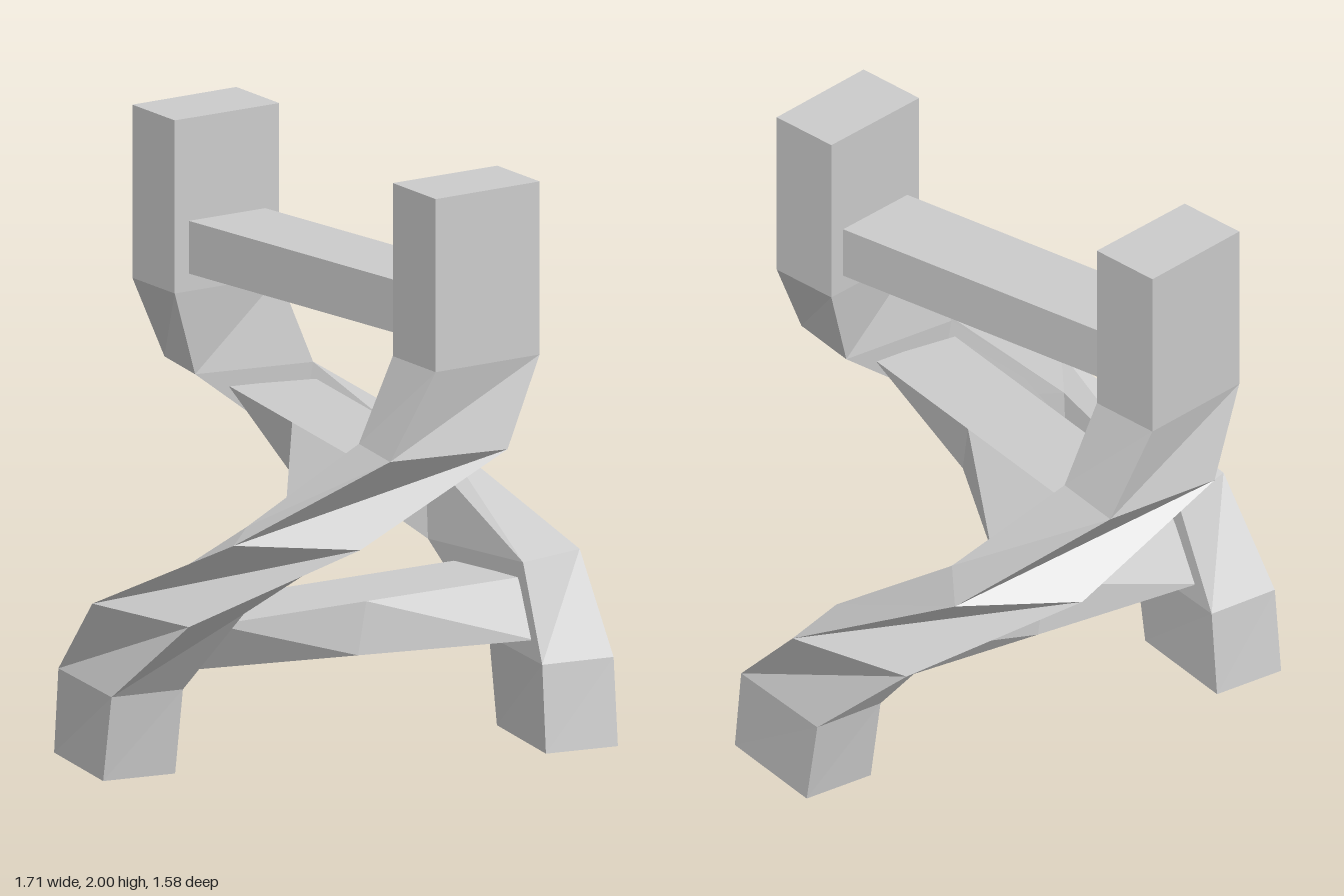
import * as THREE from 'three';

// Rail sections from foot to top: height, then outer/inner corners
// [outer trailing, inner trailing, inner leading, outer leading] as x, z pairs
const SECTIONS = [
  { y: 0.0, p: [[-0.845, -0.315], [-0.595, -0.315], [-0.595, 0.085], [-0.845, 0.085]] },
  { y: 0.286, p: [[-0.845, -0.28], [-0.595, -0.285], [-0.585, 0.125], [-0.835, 0.13]] },
  { y: 0.571, p: [[-0.855, 0.02], [-0.62, -0.07], [-0.46, 0.33], [-0.69, 0.42]] },
  { y: 0.857, p: [[-0.585, 0.54], [-0.45, 0.33], [-0.1, 0.535], [-0.235, 0.75]] },
  { y: 1.143, p: [[-0.14, 0.77], [-0.14, 0.515], [0.27, 0.515], [0.27, 0.765]] },
  { y: 1.429, p: [[0.01, 0.79], [-0.035, 0.545], [0.36, 0.47], [0.405, 0.71]] },
  { y: 2.0, p: [[0.01, 0.79], [-0.035, 0.545], [0.36, 0.47], [0.405, 0.71]] },
];

const material = new THREE.MeshStandardMaterial({ color: 0xcccccc, flatShading: true });

// Skins a row of four-cornered sections and closes both ends
function loft(sections, name) {
  const pos = [];
  const quad = (a, b, c, d) => [a, b, c, a, c, d].forEach((v) => pos.push(...v));
  for (let s = 0; s < sections.length - 1; s++) {
    const lo = sections[s], hi = sections[s + 1];
    for (let i = 0; i < 4; i++) {
      const j = (i + 1) % 4;
      quad(lo[j], lo[i], hi[i], hi[j]);
    }
  }
  const first = sections[0], last = sections[sections.length - 1];
  quad(first[0], first[1], first[2], first[3]);
  quad(last[3], last[2], last[1], last[0]);
  const geometry = new THREE.BufferGeometry();
  geometry.setAttribute('position', new THREE.Float32BufferAttribute(pos, 3));
  geometry.computeVertexNormals();
  const mesh = new THREE.Mesh(geometry, material);
  mesh.name = name;
  return mesh;
}

// Centre and unit direction of the rail's inner face at a height
function innerFace(y) {
  const k = SECTIONS.findIndex((s, i) => i > 0 && y <= s.y);
  const a = SECTIONS[k - 1], b = SECTIONS[k];
  const t = (y - a.y) / (b.y - a.y);
  const corner = (i) => new THREE.Vector2(...a.p[i]).lerp(new THREE.Vector2(...b.p[i]), t);
  const c1 = corner(1), c2 = corner(2);
  return {
    centre: c1.clone().add(c2).multiplyScalar(0.5),
    along: c2.clone().sub(c1).normalize(),
  };
}

// Rung twisting with the rails: end, middle and opposite end sections
function makeRung(bottom, top, name) {
  const half = 0.147;
  const hi = innerFace(top), lo = innerFace(bottom);
  const point = (face, y, reach, side) => [
    face.centre.x * reach + face.along.x * half * side,
    y,
    face.centre.y * reach + face.along.y * half * side,
  ];
  const sections = [1.03, 0, -1.03].map((reach) => [
    point(hi, top, reach, 1),
    point(hi, top, reach, -1),
    point(lo, bottom, reach, -1),
    point(lo, bottom, reach, 1),
  ]);
  return loft(sections, name);
}

export function createModel() {
  const model = new THREE.Group();
  model.name = 'twistedLadder';

  // Two rails, the second turned half way round
  const railSections = SECTIONS.map(({ y, p }) => p.map(([x, z]) => [x, y, z]));
  const frontRail = loft(railSections, 'frontRail');
  const backRail = frontRail.clone();
  backRail.name = 'backRail';
  backRail.rotation.y = Math.PI;
  model.add(frontRail, backRail);

  // Three rungs joining the rails
  model.add(
    makeRung(0.343, 0.517, 'lowerRung'),
    makeRung(0.915, 1.09, 'middleRung'),
    makeRung(1.487, 1.661, 'upperRung'),
  );
  return model;
}
